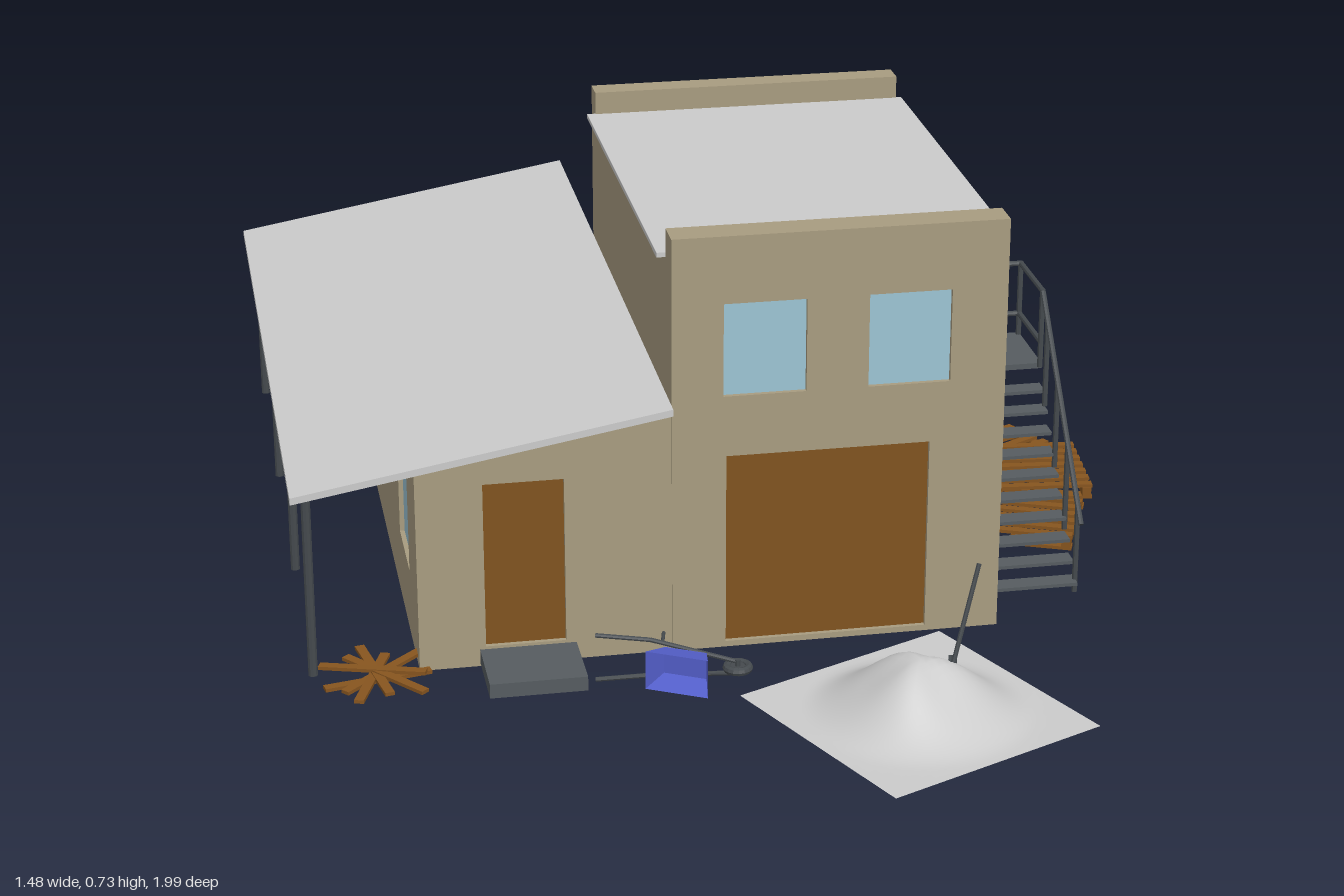
import * as THREE from 'three';

const mat = (color, side = THREE.FrontSide) => new THREE.MeshStandardMaterial({ color, side, flatShading: true });
const GREY = mat(0xcccccc), WALL = mat(0xa89c80), WOOD = mat(0x80531f), PLANK = mat(0x87551f);
const GLASS = mat(0x9cc4d4), METAL = mat(0x454a4e), STONE = mat(0x565c60), BLUE = mat(0x5560cc, THREE.DoubleSide);
const T = 0.025; // wall thickness

function add(parent, name, geo, material, x = 0, y = 0, z = 0) {
  const m = new THREE.Mesh(geo, material);
  m.name = name;
  m.position.set(x, y, z);
  parent.add(m);
  return m;
}

function group(parent, name, x = 0, y = 0, z = 0, ry = 0) {
  const g = new THREE.Group();
  g.name = name;
  g.position.set(x, y, z);
  g.rotation.y = ry;
  parent.add(g);
  return g;
}

// Box given by its limits on each axis
function block(parent, name, material, x0, x1, y0, y1, z0, z1) {
  return add(parent, name, new THREE.BoxGeometry(x1 - x0, y1 - y0, z1 - z0), material,
    (x0 + x1) / 2, (y0 + y1) / 2, (z0 + z1) / 2);
}

// Round bar between two points
function bar(parent, name, material, a, b, r, sides = 8) {
  const p = new THREE.Vector3(...a), q = new THREE.Vector3(...b), d = q.clone().sub(p);
  const m = add(parent, name, new THREE.CylinderGeometry(r, r, d.length(), sides), material);
  m.position.copy(p).add(q).multiplyScalar(0.5);
  m.quaternion.setFromUnitVectors(new THREE.Vector3(0, 1, 0), d.normalize());
  return m;
}

// Wall slab with recessed panels; openings are [u0, u1, y0, y1, material, name]
function wall(parent, name, outline, openings = []) {
  const g = group(parent, name);
  const shape = new THREE.Shape(outline.map(p => new THREE.Vector2(...p)));
  for (const [u0, u1, y0, y1, m, n] of openings) {
    shape.holes.push(new THREE.Path([[u0, y0], [u0, y1], [u1, y1], [u1, y0]].map(p => new THREE.Vector2(...p))));
    block(g, n, m, u0, u1, y0, y1, 0.008, 0.017);
  }
  add(g, name + 'Slab', new THREE.ExtrudeGeometry(shape, { depth: T, bevelEnabled: false }), WALL);
  return g;
}
const rect = (u0, u1, h) => [[u0, 0], [u1, 0], [u1, h], [u0, h]];

// Wall facing sideways: runs along z, outside face at x
function sideWall(parent, name, x, outward, z0, z1, h, openings = []) {
  const g = wall(parent, name, rect(-z1, -z0, h), openings.map(([a, b, ...rest]) => [-b, -a, ...rest]));
  g.rotation.y = Math.PI / 2;
  g.position.x = outward > 0 ? x - T : x;
}

function buildHouse(root) {
  // Two-storey block
  const main = group(root, 'mainBlock');
  wall(main, 'frontWall', rect(-0.12, 0.435, 0.725), [
    [-0.03, 0.31, 0.01, 0.345, WOOD, 'garageDoor'],
    [-0.035, 0.102, 0.45, 0.61, GLASS, 'window'], [0.205, 0.342, 0.45, 0.61, GLASS, 'window']]).position.z = 0.435 - T;
  wall(main, 'backWall', rect(-0.12, 0.435, 0.725), [
    [0.05, 0.267, 0.445, 0.61, GLASS, 'window']]).position.z = -0.40;
  sideWall(main, 'rightWall', 0.435, 1, -0.40 + T, 0.435 - T, 0.68, [
    [-0.055, 0.085, 0.322, 0.605, WOOD, 'upperDoor'],
    [0.19, 0.325, 0.45, 0.61, GLASS, 'window'], [-0.295, -0.155, 0.45, 0.61, GLASS, 'window']]);
  sideWall(main, 'innerWall', -0.12, -1, -0.40 + T, 0.435 - T, 0.68);
  block(main, 'frontParapet', WALL, -0.12, 0.435, 0.66, 0.725, 0.38, 0.415);
  block(main, 'backParapet', WALL, -0.12, 0.435, 0.66, 0.725, -0.38, -0.355);
  block(main, 'mainRoof', GREY, -0.135, 0.445, 0.677, 0.685, -0.358, 0.382);

  // Lean-to wing with a sloping roof
  const wing = group(root, 'wing');
  const gable = [[-0.54, 0], [-0.12, 0], [-0.12, 0.43], [-0.54, 0.355]];
  wall(wing, 'wingFrontWall', gable, [[-0.43, -0.297, 0.035, 0.325, WOOD, 'wingDoor']]).position.z = 0.433 - T;
  wall(wing, 'wingBackWall', gable).position.z = -0.82;
  sideWall(wing, 'wingOuterWall', -0.54, -1, -0.82 + T, 0.433 - T, 0.355, [
    [0.14, 0.30, 0.12, 0.285, GLASS, 'window'], [-0.27, -0.11, 0.12, 0.285, GLASS, 'window']]);
  sideWall(wing, 'wingInnerWall', -0.12, 1, -0.82 + T, -0.40, 0.425);
  const slope = new THREE.Shape([[-0.74, 0.321], [-0.12, 0.428], [-0.12, 0.44], [-0.74, 0.333]].map(p => new THREE.Vector2(...p)));
  add(wing, 'slopingRoof', new THREE.ExtrudeGeometry(slope, { depth: 1.285, bevelEnabled: false }), GREY, 0, 0, -0.835);
  for (let i = 0; i < 4; i++) {
    const z = 0.425 - i * 0.41;
    bar(wing, 'roofPost', METAL, [-0.714, 0.005, z], [-0.714, 0.325, z], 0.008, 10);
  }
  block(wing, 'doorStep', STONE, -0.44, -0.28, 0.005, 0.03, 0.433, 0.56);

  // Low annexe behind the main block
  const annexe = group(root, 'annexe');
  sideWall(annexe, 'annexeRightWall', 0.42, 1, -0.82 + T, -0.40, 0.268, [[-0.74, -0.48, 0.01, 0.255, WOOD, 'annexeDoor']]);
  wall(annexe, 'annexeBackWall', rect(-0.12, 0.42, 0.268)).position.z = -0.82;
  block(annexe, 'annexeRoof', GREY, -0.12, 0.43, 0.267, 0.278, -0.833, -0.40);
}

function buildStairs(root) {
  const g = group(root, 'outsideStairs');
  const X0 = 0.445, X1 = 0.597, r = 0.005;
  block(g, 'landing', STONE, 0.435, 0.6, 0.315, 0.325, -0.065, 0.085);
  for (let i = 0; i < 10; i++) {
    const y = 0.026 + i * 0.0288, z = 0.345 - i * 0.0268;
    block(g, 'tread', STONE, X0, X1, y - 0.003, y + 0.003, z - 0.017, z + 0.017);
  }
  // Sloping handrail and its posts
  bar(g, 'handrail', METAL, [X1, 0.14, 0.367], [X1, 0.46, 0.087], r);
  for (const [z, y0, y1] of [[0.345, 0.005, 0.165], [0.272, 0.09, 0.248], [0.198, 0.175, 0.333], [0.124, 0.26, 0.418]])
    bar(g, 'railPost', METAL, [X1, y0, z], [X1, y1, z], r);
  // Rails around the landing
  for (const y of [0.365, 0.46]) {
    bar(g, 'landingRail', METAL, [X1, y, -0.057], [X1, y, 0.087], r);
    bar(g, 'landingRail', METAL, [0.437, y, -0.057], [X1, y, -0.057], r);
  }
  for (const [x, z] of [[X1, 0.085], [X1, -0.057], [0.442, -0.057]])
    bar(g, 'landingPost', METAL, [x, 0.318, z], [x, 0.463, z], r);
}

// Slatted pallet about 0.2 square
function buildPallet(root, x, y, z, ry) {
  const g = group(root, 'pallet', x, y, z, ry);
  for (const u of [-0.09, 0, 0.09]) {
    block(g, 'runner', PLANK, u - 0.008, u + 0.008, 0.006, 0.021, -0.1, 0.1);
    block(g, 'bottomSlat', PLANK, -0.1, 0.1, 0, 0.006, u - 0.01, u + 0.01);
  }
  for (let i = 0; i < 7; i++) {
    const v = -0.09 + i * 0.03;
    block(g, 'topSlat', PLANK, -0.1, 0.1, 0.021, 0.027, v - 0.008, v + 0.008);
  }
}

function buildWheelbarrow(root) {
  // Built upright along x, then tipped onto its side
  const spot = group(root, 'wheelbarrow', -0.125, 0.043, 0.572, -0.5);
  const g = group(spot, 'tippedBarrow');
  g.rotation.x = Math.PI / 2;
  const tub = new THREE.CylinderGeometry(0.05, 0.034, 0.045, 4, 1, true, Math.PI / 4);
  tub.scale(1.5, 1, 0.95);
  add(g, 'tub', tub, BLUE, 0, 0.015, 0);
  block(g, 'tubFloor', BLUE, -0.036, 0.036, -0.0085, -0.0065, -0.023, 0.023);
  for (const s of [-1, 1]) {
    bar(g, 'handle', METAL, [0.085, -0.02, s * 0.01], [-0.06, -0.008, s * 0.032], 0.004);
    bar(g, 'grip', METAL, [-0.06, -0.008, s * 0.032], [-0.145, 0.02, s * 0.04], 0.004);
    bar(g, 'leg', METAL, [-0.04, -0.01, s * 0.029], [-0.05, -0.045, s * 0.029], 0.003);
  }
  const wheel = add(g, 'wheel', new THREE.TorusGeometry(0.018, 0.007, 8, 16), METAL, 0.085, -0.02, 0);
  bar(wheel, 'axle', METAL, [0, 0, -0.014], [0, 0, 0.014], 0.005);
  bar(wheel, 'hub', METAL, [0, 0, -0.003], [0, 0, 0.003], 0.015, 12);
}

function buildYard(root) {
  // Gravel heap on a square sheet, pulled up into a peak
  const heap = new THREE.PlaneGeometry(0.41, 0.41, 28, 28).rotateX(-Math.PI / 2);
  const p = heap.attributes.position;
  for (let i = 0; i < p.count; i++) {
    const x = p.getX(i), z = p.getZ(i), d = Math.hypot(x, z);
    const t = Math.max(0, 1 - d / 0.19);
    p.setY(i, 0.003 + 0.094 * t * t * (3 - 2 * t) * (1 + 0.12 * Math.sin(3 * Math.atan2(z, x)) * Math.min(1, d * 12)));
  }
  heap.computeVertexNormals();
  const heapMat = new THREE.MeshStandardMaterial({ color: 0xcccccc, side: THREE.DoubleSide });
  add(root, 'gravelHeap', heap, heapMat, 0.23, 0, 0.72).rotation.y = 0.425;

  // Shovel stuck in the heap
  const shovel = group(root, 'shovel');
  bar(shovel, 'shaft', METAL, [0.285, 0.07, 0.712], [0.333, 0.235, 0.68], 0.004);
  const blade = add(shovel, 'blade', new THREE.BoxGeometry(0.03, 0.05, 0.005), METAL, 0.285, 0.065, 0.712);
  blade.rotation.set(-0.19, 1.0, -0.28);

  // Pallets: two on the ground, one across them
  buildPallet(root, 0.595, 0.005, -0.245, -1.06 + Math.PI / 2);
  buildPallet(root, 0.585, 0.005, 0.055, -0.4);
  buildPallet(root, 0.63, 0.033, -0.073, -0.1);

  // Stack of boards behind the annexe
  const stack = group(root, 'boardStack');
  for (let layer = 0; layer < 3; layer++) {
    for (let i = 0; i < 6 - (layer > 1 ? 1 : 0); i++) {
      const z = -0.985 + i * 0.0252 + (layer > 1 ? 0.012 : 0), j = 0.006 * Math.sin(i * 2.3 + layer);
      block(stack, 'board', PLANK, -0.088 + j, 0.362 + j, 0.003 + layer * 0.014, 0.015 + layer * 0.014,
        z - 0.0115, z + 0.0115).rotation.y = 0.008 * Math.sin(i * 1.7 + layer * 2);
    }
  }

  // Loose heap of offcuts
  const scrap = group(root, 'scrapWood', -0.612, 0.01, 0.458);
  for (let i = 0; i < 6; i++) {
    const s = add(scrap, 'offcut', new THREE.BoxGeometry(0.18, 0.006, 0.016), PLANK,
      0.012 * Math.sin(i * 2), i * 0.0018, 0.012 * Math.cos(i * 3));
    s.rotation.set(0, i * 0.52 + 0.2, 0.03 * Math.sin(i * 2.1));
  }
}

export function createModel() {
  const root = new THREE.Group();
  root.name = 'houseWithYard';
  buildHouse(root);
  buildStairs(root);
  buildWheelbarrow(root);
  buildYard(root);
  return root;
}
